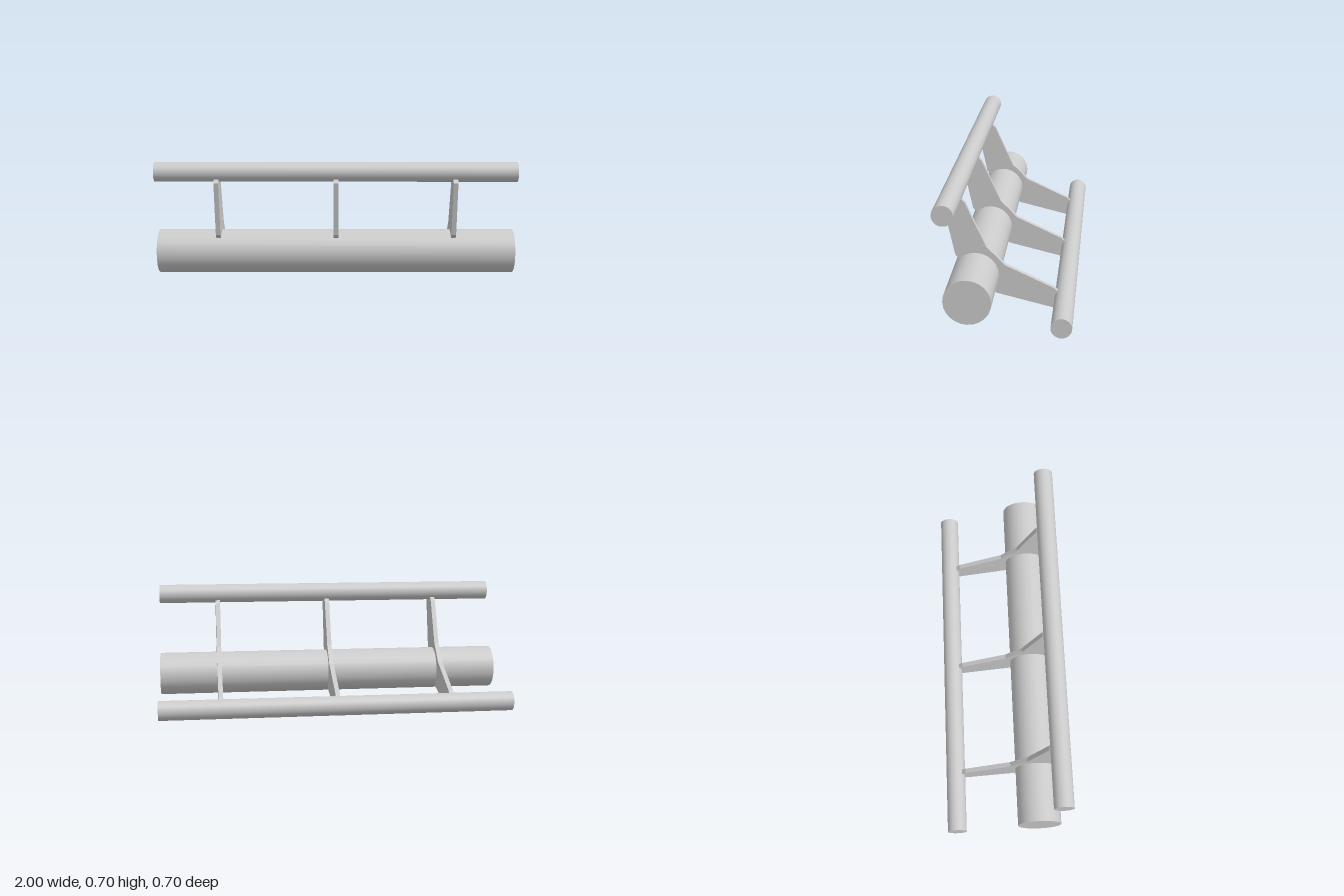
import * as THREE from 'three';

const material = new THREE.MeshStandardMaterial({ color: 0xcccccc });

// Full-length round bar along x, centred at (y, z)
function bar(name, radius, y, z, segments) {
  const geometry = new THREE.CylinderGeometry(radius, radius, 2, segments);
  geometry.rotateZ(Math.PI / 2);
  const mesh = new THREE.Mesh(geometry, material);
  mesh.name = name;
  mesh.position.set(0, y, z);
  return mesh;
}

// Bent bracket plate joining the main tube to both rails
function bracketGeometry(thickness) {
  // Outline as [z, y]; its ends are buried inside the bars
  const outline = [
    [0.349, 0.585], [0.33, 0.605], [0.252, 0.605], [0.233, 0.585],
    [0.123, 0.339], [0.074, 0.291], [0.027, 0.24],
    [-0.235, 0.117], [-0.255, 0.098], [-0.255, 0.021], [-0.235, 0.002],
    [0.073, 0.076], [0.095, 0.098], [0.265, 0.267], [0.287, 0.288],
  ];
  const shape = new THREE.Shape(outline.map(([z, y]) => new THREE.Vector2(-z, y)));
  const geometry = new THREE.ExtrudeGeometry(shape, { depth: thickness, bevelEnabled: false });
  geometry.translate(0, 0, -thickness / 2);
  geometry.rotateY(Math.PI / 2);
  return geometry;
}

export function createModel() {
  const group = new THREE.Group();
  group.name = 'railAssembly';

  // Main tube and the two slim rails
  group.add(bar('mainTube', 0.123, 0.181, 0.18, 24));
  group.add(bar('upperRail', 0.0545, 0.643, 0.291, 32));
  group.add(bar('rearRail', 0.0545, 0.06, -0.293, 32));

  // Three evenly spaced brackets
  const geometry = bracketGeometry(0.026);
  [['rightBracket', -0.657], ['middleBracket', 0], ['leftBracket', 0.657]].forEach(([name, x]) => {
    const bracket = new THREE.Mesh(geometry, material);
    bracket.name = name;
    bracket.position.x = x;
    group.add(bracket);
  });

  return group;
}
